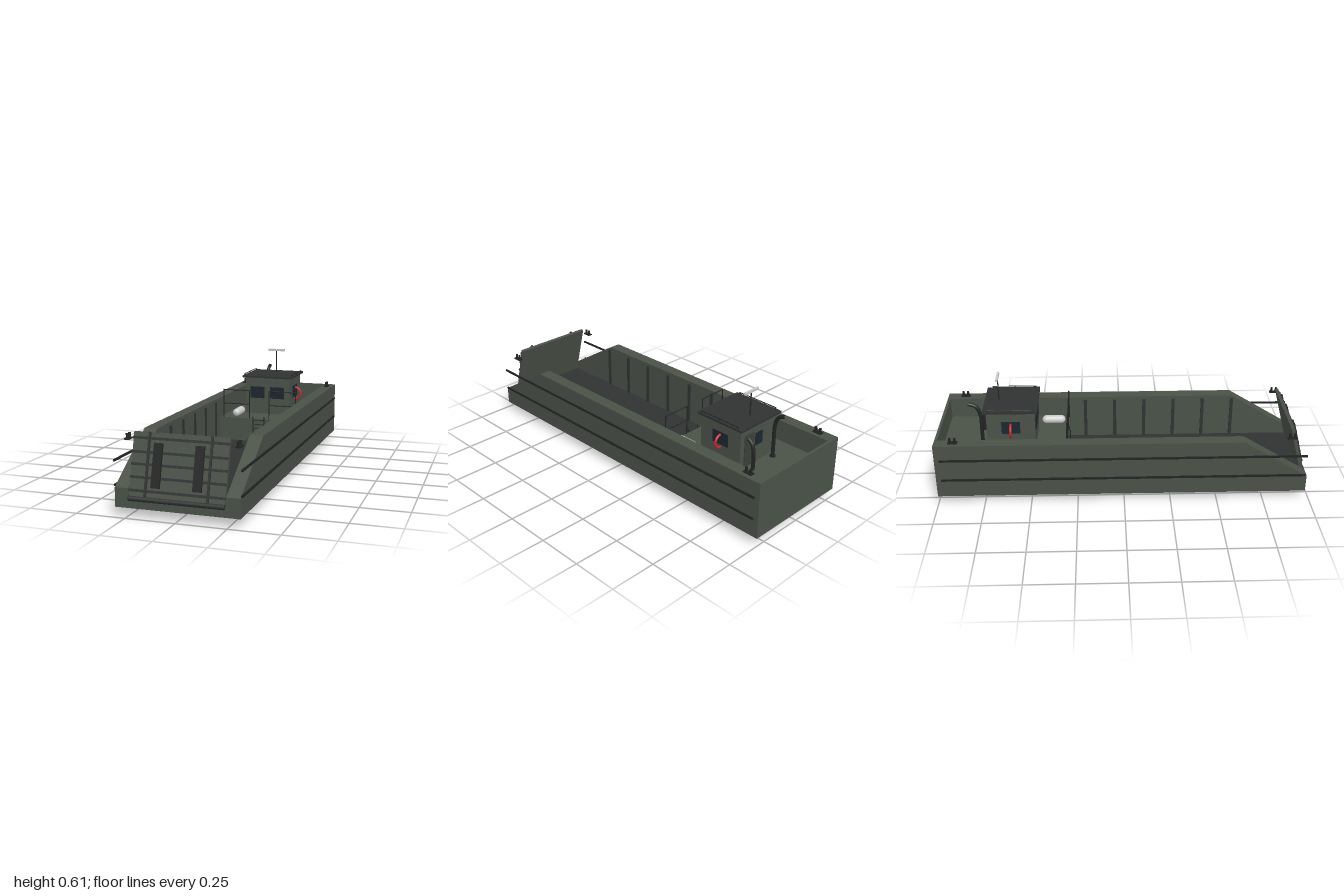
import * as THREE from 'three';

const mat = (color, side = THREE.FrontSide) => new THREE.MeshStandardMaterial({ color, side });
const HULL = mat(0x4a5248), DARK = mat(0x2f3331), BLACK = mat(0x222423), GLASS = mat(0x1c2530);
const WHITE = mat(0xcccccc), RED = mat(0xc0272d), BRASS = mat(0x8a6a2a), DOOR = mat(0x3a4139);

export function createModel() {
  const root = new THREE.Group();

  const add = (name, geo, material, x = 0, y = 0, z = 0, parent = root) => {
    const m = new THREE.Mesh(geo, material);
    m.name = name;
    m.position.set(x, y, z);
    parent.add(m);
    return m;
  };
  // Box given by its limits on each axis
  const box = (name, material, x0, x1, y0, y1, z0, z1, parent = root) =>
    add(name, new THREE.BoxGeometry(x1 - x0, y1 - y0, z1 - z0), material,
      (x0 + x1) / 2, (y0 + y1) / 2, (z0 + z1) / 2, parent);
  // Smooth pipe through points
  const pipe = (name, pts, r, material) => add(name, new THREE.TubeGeometry(
    new THREE.CatmullRomCurve3(pts.map(p => new THREE.Vector3(...p))), 24, r, 10), material);
  // Straight round bar between two points
  const bar = (name, a, b, r, material) => {
    const p = new THREE.Vector3(...a), q = new THREE.Vector3(...b), d = q.clone().sub(p);
    const m = add(name, new THREE.CylinderGeometry(r, r, d.length(), 8), material);
    m.position.copy(p).add(q).multiplyScalar(0.5);
    m.quaternion.setFromUnitVectors(new THREE.Vector3(0, 1, 0), d.normalize());
    return m;
  };

  // Hull: floor, aft deck, stern and two side walls sloping down to the bow
  box('hullBottom', HULL, -0.24, 0.24, 0.045, 0.098, -0.985, 0.98);
  box('wellFloor', DARK, -0.24, 0.24, 0.098, 0.1, -0.3, 0.98);
  box('aftDeck', HULL, -0.24, 0.24, 0.098, 0.235, -0.985, -0.3);
  box('stern', HULL, -0.307, 0.307, 0.045, 0.352, -1, -0.985);
  const profile = new THREE.Shape([[-0.985, 0.045], [0.98, 0.045], [0.98, 0.14], [0.635, 0.352], [-0.985, 0.352]]
    .map(p => new THREE.Vector2(...p)));
  const wall = new THREE.ExtrudeGeometry(profile, { depth: 0.067, bevelEnabled: false }).rotateY(-Math.PI / 2);

  for (const s of [-1, 1]) {
    add('sideWall', wall, HULL, s > 0 ? 0.307 : -0.24);
    for (const y of [0.147, 0.265])
      add('rubRail', new THREE.BoxGeometry(0.008, 0.01, 1.945), BLACK, s * 0.311, y, 0);
    for (let i = 0; i < 6; i++)
      add('wallRib', new THREE.BoxGeometry(0.007, 0.235, 0.018), DARK, s * 0.2365, 0.2175, 0.64 - i * 0.17);

    // Mooring bollards
    for (const z of [-0.9, 0.89]) {
      const g = new THREE.Group();
      g.name = 'bollard';
      g.position.set(s * 0.273, 0.352, z);
      root.add(g);
      add('bollardBase', new THREE.BoxGeometry(0.025, 0.006, 0.05), BLACK, 0, 0.003, 0, g);
      for (const dz of [-0.013, 0.013])
        add('bollardPost', new THREE.CylinderGeometry(0.007, 0.007, 0.028, 10), BLACK, 0, 0.015, dz, g);
    }

    // Deck railing beside the ladder
    for (const x of [0.06, 0.22])
      bar('railingPost', [s * x, 0.235, -0.303], [s * x, 0.402, -0.303], 0.003, BLACK);
    for (const y of [0.32, 0.402])
      bar('railingBar', [s * 0.06, y, -0.303], [s * 0.222, y, -0.303], 0.003, BLACK);

    // Fenders stowed on the aft deck
    add('fender', new THREE.CapsuleGeometry(0.023, 0.085, 6, 16).rotateX(Math.PI / 2), WHITE,
      s * 0.153, 0.258, -0.39);

    // Cabin windows, lifebuoys and roof grab rails
    add('frontWindow', new THREE.BoxGeometry(0.086, 0.07, 0.006), GLASS, s * 0.062, 0.365, -0.474);
    add('sideWindow', new THREE.BoxGeometry(0.006, 0.07, 0.1), GLASS, s * 0.137, 0.365, -0.605);
    add('lifebuoy', new THREE.TorusGeometry(0.035, 0.007, 10, 28), RED, s * 0.14, 0.35, -0.605);
    bar('roofRail', [s * 0.146, 0.475, -0.48], [s * 0.146, 0.475, -0.725], 0.0025, BLACK);
    for (const z of [-0.485, -0.6, -0.72])
      bar('roofRailPost', [s * 0.146, 0.465, z], [s * 0.146, 0.475, z], 0.0025, BLACK);

    // Drive pod, propeller and rudder
    add('drivePod', new THREE.CylinderGeometry(0.02, 0.02, 0.065, 8).rotateX(Math.PI / 2), DARK,
      s * 0.137, 0.035, -0.843);
    bar('propellerShaft', [s * 0.137, 0.035, -0.87], [s * 0.137, 0.035, -0.9], 0.005, BRASS);
    for (let i = 0; i < 2; i++) {
      const blade = add('propellerBlades', new THREE.BoxGeometry(0.05, 0.007, 0.006), BRASS,
        s * 0.137, 0.035, -0.886);
      blade.rotation.z = i * Math.PI / 2;
    }
    box('rudder', BLACK, s * 0.137 - 0.002, s * 0.137 + 0.002, 0, 0.046, -0.94, -0.9);
  }

  // Ladder on the face of the aft deck
  for (const x of [-0.035, 0.035]) bar('ladderRail', [x, 0.1, -0.293], [x, 0.25, -0.293], 0.003, BLACK);
  for (let i = 0; i < 5; i++)
    bar('ladderRung', [-0.035, 0.125 + i * 0.026, -0.293], [0.035, 0.125 + i * 0.026, -0.293], 0.0025, BLACK);

  // Wheelhouse
  box('cabin', HULL, -0.137, 0.137, 0.235, 0.455, -0.735, -0.475);
  box('cabinRoof', DARK, -0.153, 0.153, 0.455, 0.466, -0.752, -0.46);
  box('cabinDoor', DOOR, 0.038, 0.107, 0.238, 0.415, -0.74, -0.735);
  box('rearWindow', GLASS, -0.03, 0.025, 0.33, 0.4, -0.738, -0.735);

  // Mast and radar bar
  bar('mast', [0, 0.466, -0.675], [0, 0.6, -0.675], 0.003, BLACK);
  box('radarBar', WHITE, -0.051, 0.051, 0.597, 0.61, -0.681, -0.669);

  // Exhaust and vent pipes behind the wheelhouse
  pipe('exhaustPipe', [[-0.085, 0.235, -0.768], [-0.085, 0.33, -0.768], [-0.085, 0.42, -0.77],
    [-0.085, 0.468, -0.79], [-0.085, 0.485, -0.83]], 0.01, BLACK);
  pipe('ventPipe', [[0.085, 0.395, -0.742], [0.085, 0.375, -0.765], [0.085, 0.33, -0.778],
    [0.085, 0.235, -0.778]], 0.01, BLACK);
  add('exhaustFlange', new THREE.CylinderGeometry(0.015, 0.015, 0.01, 12), BLACK, -0.085, 0.24, -0.768);

  // Bow ramp, leaning aft from its hinge
  const ramp = new THREE.Group();
  ramp.name = 'bowRamp';
  ramp.position.set(0, 0.095, 0.977);
  ramp.rotation.x = -0.26;
  root.add(ramp);
  box('rampPlate', HULL, -0.235, 0.235, 0, 0.309, -0.009, 0.008, ramp);
  for (const y of [0.036, 0.098, 0.158, 0.215, 0.28])
    box('rampCrossRib', DARK, -0.235, 0.235, y - 0.006, y + 0.006, 0.008, 0.016, ramp);
  for (const s of [-1, 1]) {
    add('rampStiffener', new THREE.BoxGeometry(0.01, 0.309, 0.012), DARK, s * 0.153, 0.155, 0.013, ramp);
    add('rampTread', new THREE.BoxGeometry(0.043, 0.208, 0.012), BLACK, s * 0.102, 0.157, 0.021, ramp);
  }
  add('rampHinge', new THREE.CylinderGeometry(0.012, 0.012, 0.47, 16).rotateZ(Math.PI / 2), DARK, 0, 0.095, 0.988);

  return root;
}
